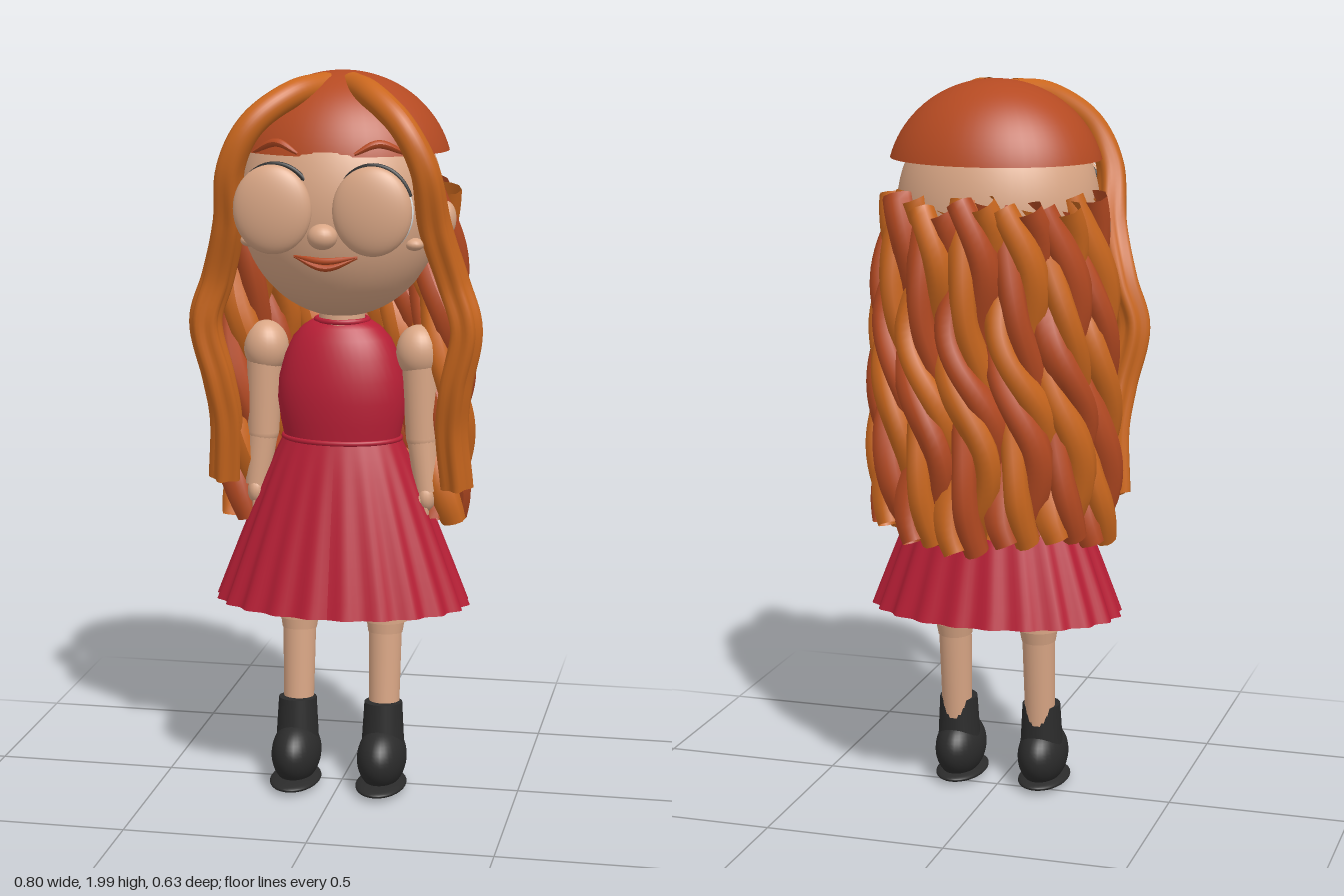
import * as THREE from 'three';

const mat = (name, color, side = THREE.FrontSide) => {
  const m = new THREE.MeshStandardMaterial({ color, side });
  m.name = name;
  return m;
};
const V = (x, y, z) => new THREE.Vector3(x, y, z);

export function createModel() {
  const model = new THREE.Group();
  model.name = 'doll';
  const skin = mat('skin', 0xd9a685);
  const dress = mat('dressRed', 0xb81f36, THREE.DoubleSide);
  const rust = mat('rustHair', 0xb54a22, THREE.DoubleSide);
  const orange = mat('orangeHair', 0xca671e, THREE.DoubleSide);
  const black = mat('bootBlack', 0x2b2b2b);
  const white = mat('eyeWhite', 0xececec);

  const add = (name, geo, material, x = 0, y = 0, z = 0) => {
    const m = new THREE.Mesh(geo, material);
    m.name = name;
    m.position.set(x, y, z);
    model.add(m);
    return m;
  };
  const ball = (name, material, p, r, seg = 32) =>
    add(name, new THREE.SphereGeometry(1, seg, seg * 0.75).scale(...r), material, ...p);
  // tapered limb from point a (radius ra) down to point b (radius rb)
  const limb = (name, material, a, b, ra, rb) => {
    const from = V(...a), to = V(...b), dir = from.clone().sub(to);
    const m = add(name, new THREE.CylinderGeometry(ra, rb, dir.length(), 24), material);
    m.position.copy(from).add(to).multiplyScalar(0.5);
    m.quaternion.setFromUnitVectors(V(0, 1, 0), dir.normalize());
  };
  // tube whose radius follows a rule of (t along, angle around)
  const sweep = (name, material, points, rule, steps = 40, sides = 10) => {
    const curve = new THREE.CatmullRomCurve3(points);
    const geo = new THREE.TubeGeometry(curve, steps, 1, sides, false);
    const pos = geo.attributes.position, v = V(0, 0, 0);
    for (let i = 0; i <= steps; i++) {
      const c = curve.getPointAt(i / steps);
      for (let j = 0; j <= sides; j++) {
        const k = i * (sides + 1) + j;
        v.fromBufferAttribute(pos, k).sub(c)
          .multiplyScalar(rule(i / steps, (j % sides) / sides * Math.PI * 2)).add(c);
        pos.setXYZ(k, v.x, v.y, v.z);
      }
    }
    geo.computeVertexNormals();
    add(name, geo, material);
  };

  // Head and hair cap
  ball('head', skin, [0, 1.65, 0.01], [0.277, 0.31, 0.25], 48);
  add('hairCap', new THREE.SphereGeometry(1, 48, 20, 0, Math.PI * 2, 0, Math.PI * 0.42)
    .scale(0.297, 0.28, 0.253), rust, 0, 1.72, -0.014);
  ball('nose', skin, [0, 1.587, 0.27], [0.04, 0.034, 0.036], 20);

  // Smiling mouth: two thin lips
  const lip = (t) => 0.003 + 0.006 * Math.sin(Math.PI * t);
  sweep('upperLip', rust, [V(-0.085, 1.53, 0.226), V(0, 1.519, 0.243), V(0.085, 1.53, 0.226)], lip, 20, 8);
  sweep('lowerLip', rust, [V(-0.085, 1.528, 0.226), V(0, 1.5, 0.238), V(0.085, 1.528, 0.226)], lip, 20, 8);

  // Neck, bodice and collar
  limb('neck', skin, [0, 1.4, 0], [0, 1.29, 0], 0.06, 0.065);
  const bodice = [[0.16, 1.0], [0.17, 1.05], [0.178, 1.11], [0.174, 1.17], [0.158, 1.23],
    [0.135, 1.28], [0.108, 1.31], [0.085, 1.325], [0.06, 1.33]].map((p) => new THREE.Vector2(...p));
  add('bodice', new THREE.LatheGeometry(bodice, 40).scale(1, 1, 0.68), dress);
  add('collar', new THREE.TorusGeometry(0.07, 0.008, 10, 32).rotateX(Math.PI / 2).scale(1, 1, 0.85), dress, 0, 1.328, 0);
  add('waistband', new THREE.TorusGeometry(0.162, 0.007, 10, 40).rotateX(Math.PI / 2).scale(1, 1, 0.68), dress, 0, 1.003, 0);

  // Pleated skirt: soft pleats deepen toward the hem
  const skirt = new THREE.CylinderGeometry(1, 1, 1, 176, 10, true);
  const sp = skirt.attributes.position;
  for (let i = 0; i < sp.count; i++) {
    const t = 0.5 - sp.getY(i), a = Math.atan2(sp.getZ(i), sp.getX(i));
    const r = 0.163 + 0.187 * Math.pow(t, 0.93) + 0.008 * t * Math.cos(a * 22);
    sp.setXYZ(i, Math.cos(a) * r, 1.005 - 0.467 * t, Math.sin(a) * r * 0.66 - 0.008 * t);
  }
  skirt.computeVertexNormals();
  add('skirt', skirt, dress);

  for (const s of [-1, 1]) {
    const side = s > 0 ? 'left' : 'right';
    // Eyes with closed lids, lashes, brows, cheeks and ears
    ball(side + 'Eye', white, [s * 0.13, 1.648, 0.205], [0.1, 0.11, 0.045]);
    ball(side + 'Eyelid', skin, [s * 0.132, 1.656, 0.275], [0.105, 0.117, 0.038]);
    add(side + 'Lash', new THREE.TorusGeometry(0.1, 0.007, 8, 28, Math.PI * 0.8)
      .rotateZ(Math.PI * 0.1).scale(1, 1.12, 0.8), black, s * 0.13, 1.658, 0.241);
    sweep(side + 'Brow', rust, [V(s * 0.075, 1.797, 0.222), V(s * 0.135, 1.823, 0.201), V(s * 0.205, 1.795, 0.163)],
      (t) => 0.004 + 0.007 * Math.sin(Math.PI * t), 20, 8);
    ball(side + 'Cheek', skin, [s * 0.222, 1.557, 0.145], [0.026, 0.017, 0.026], 16);
    ball(side + 'Ear', skin, [s * 0.285, 1.61, 0.01], [0.028, 0.048, 0.034], 20);

    // Arms and hands
    ball(side + 'Shoulder', skin, [s * 0.212, 1.245, 0], [0.062, 0.074, 0.06], 24);
    limb(side + 'UpperArm', skin, [s * 0.216, 1.22, 0], [s * 0.222, 1.01, 0], 0.05, 0.044);
    ball(side + 'Elbow', skin, [s * 0.222, 1.01, 0], [0.044, 0.044, 0.044], 20);
    limb(side + 'Forearm', skin, [s * 0.222, 1.01, 0], [s * 0.238, 0.86, 0.012], 0.042, 0.032);
    ball(side + 'Palm', skin, [s * 0.238, 0.845, 0.015], [0.025, 0.04, 0.036], 16);
    for (let f = 0; f < 4; f++) {
      add(side + 'Finger', new THREE.CapsuleGeometry(0.008, 0.045, 4, 8), skin, s * 0.238, 0.805, -0.01 + f * 0.015);
    }
    limb(side + 'Thumb', skin, [s * 0.225, 0.85, 0.035], [s * 0.215, 0.81, 0.045], 0.01, 0.008);

    // Legs
    limb(side + 'Thigh', skin, [s * 0.122, 0.8, -0.01], [s * 0.122, 0.485, -0.008], 0.066, 0.064);
    limb(side + 'Knee', skin, [s * 0.122, 0.487, -0.008], [s * 0.122, 0.45, -0.005], 0.054, 0.048);
    limb(side + 'Shin', skin, [s * 0.122, 0.46, -0.005], [s * 0.122, 0.17, 0.015], 0.046, 0.041);

    // Boots
    limb(side + 'BootShaft', black, [s * 0.122, 0.255, 0.025], [s * 0.122, 0.08, 0.032], 0.053, 0.063);
    ball(side + 'BootFoot', black, [s * 0.122, 0.1, 0.045], [0.068, 0.088, 0.112]);
    ball(side + 'BootSole', black, [s * 0.122, 0.026, 0.058], [0.07, 0.018, 0.118]);

    // Long front lock, smooth on top and grooved below
    const path = [[0.035, 1.962, 0.04], [0.105, 1.945, 0.14], [0.2, 1.87, 0.21], [0.258, 1.76, 0.212],
      [0.279, 1.6, 0.16], [0.32, 1.45, 0.115], [0.355, 1.33, 0.112], [0.325, 1.17, 0.09],
      [0.312, 1.05, 0.06], [0.324, 0.88, 0.025]];
    sweep(side + 'FrontLock', orange, path.map(([x, y, z]) => V(s * x, y, z)), (t, a) => {
      const groove = THREE.MathUtils.smoothstep(t, 0.2, 0.45);
      return (0.036 + 0.005 * groove) * (1 + 0.15 * groove * Math.cos(a * 5 + s * t * 4));
    }, 80, 30);
    ball(side + 'FrontLockRoot', orange, [s * 0.035, 1.962, 0.04], [0.034, 0.034, 0.034], 16);
    ball(side + 'FrontLockTip', orange, [s * 0.324, 0.885, 0.025], [0.036, 0.012, 0.034], 16);
  }

  // Back hair: wavy ropes of twisted strands, tucked in beside the head
  const ropes = 7, strands = 4;
  for (let k = 0; k < ropes; k++) {
    const base = THREE.MathUtils.lerp(0.17, Math.PI - 0.17, k / (ropes - 1));
    const top = 1.685 + 0.015 * Math.sin(k * 2.4), bottom = 0.775 + 0.02 * Math.sin(k * 1.7);
    for (let n = 0; n < strands; n++) {
      const points = [];
      for (let i = 0; i <= 24; i++) {
        const t = i / 24;
        const a = base + 0.09 * Math.sin(t * 11 + 0.4) * Math.sin(base);
        const turn = Math.PI * 2 * (1.35 * t + n / strands) + k * 1.3;
        const out = 0.038 * Math.cos(turn), along = 0.044 * Math.sin(turn);
        const rx = 0.24 + 0.046 * THREE.MathUtils.smoothstep(t, 0, 0.4);
        points.push(V(
          Math.cos(a) * (rx + out) - Math.sin(a) * along,
          THREE.MathUtils.lerp(top, bottom, t),
          -Math.sin(a) * (0.237 + out) - Math.cos(a) * along - 0.003));
      }
      sweep('backHairStrand', n % 2 ? rust : orange, points,
        (t, a) => 0.039 * (1 + 0.14 * Math.cos(a * 2 + t * 8)) * (0.8 + 0.2 * Math.min(1, 8 * (1 - t))), 44, 10);
    }
  }
  return model;
}
